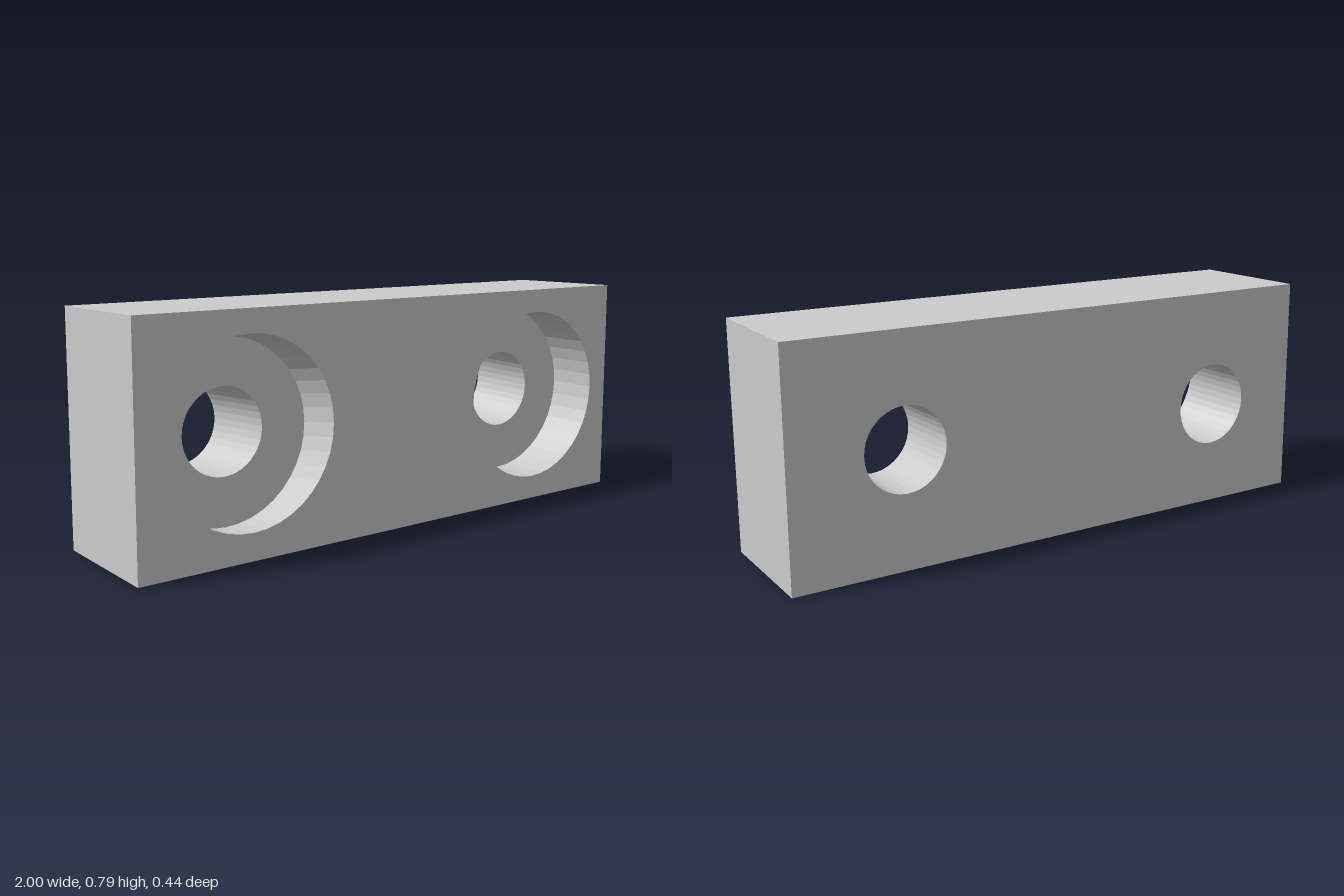
import * as THREE from 'three';

const SEG = 40;
const FRONT = 0.222, FLOOR = 0.04, BACK = -0.222;

const loop = (z, pts) => pts.map(([x, y]) => new THREE.Vector3(x, y, z));

function ring(x, y, z, r) {
  return Array.from({ length: SEG }, (_, i) => {
    const a = (i / SEG) * Math.PI * 2;
    return new THREE.Vector3(x + r * Math.cos(a), y + r * Math.sin(a), z);
  });
}

// Band of quads joining two counter-clockwise loops
function band(a, b) {
  const pos = [];
  a.forEach((p, i) => {
    const j = (i + 1) % a.length;
    for (const v of [p, b[i], b[j], p, b[j], a[j]]) pos.push(v.x, v.y, v.z);
  });
  const g = new THREE.BufferGeometry();
  g.setAttribute('position', new THREE.Float32BufferAttribute(pos, 3));
  g.computeVertexNormals();
  return g;
}

// Flat face with holes, facing front or back
function plate(outline, holes, facesBack) {
  const shape = new THREE.Shape().setFromPoints(outline);
  shape.holes = holes.map((h) => new THREE.Path().setFromPoints(h));
  const g = new THREE.ShapeGeometry(shape);
  g.translate(0, 0, outline[0].z);
  if (facesBack) {
    g.index.array.reverse();
    g.computeVertexNormals();
  }
  return g;
}

export function createModel() {
  const model = new THREE.Group();
  model.name = 'mountingBlock';
  const material = new THREE.MeshStandardMaterial({ color: 0xcccccc, flatShading: true });
  const add = (name, geometry) => {
    const mesh = new THREE.Mesh(geometry, material);
    mesh.name = name;
    model.add(mesh);
  };

  // Slightly out-of-square block outlines
  const front = loop(FRONT, [[-1, 0.003], [1, 0], [0.998, 0.773], [-0.99, 0.785]]);
  const back = loop(BACK, [[-1, 0.003], [1, 0], [0.998, 0.767], [-0.99, 0.778]]);

  // Each hole: counterbore mouth, counterbore floor, bore start, bore exit
  const holes = [
    {
      side: 'right',
      mouth: ring(-0.607, 0.4, FRONT, 0.307),
      floor: ring(-0.595, 0.373, FLOOR, 0.307),
      bore: ring(-0.6, 0.378, FLOOR, 0.146),
      exit: ring(-0.622, 0.369, BACK, 0.146),
    },
    {
      side: 'left',
      mouth: ring(0.612, 0.389, FRONT, 0.305),
      floor: ring(0.612, 0.389, FLOOR, 0.305),
      bore: ring(0.612, 0.389, FLOOR, 0.14),
      exit: ring(0.612, 0.393, BACK, 0.14),
    },
  ];

  // Block shell
  add('frontFace', plate(front, holes.map((h) => h.mouth), false));
  add('backFace', plate(back, holes.map((h) => h.exit), true));
  add('outerSides', band(front, back));

  // Counterbored bolt holes
  for (const h of holes) {
    add(`${h.side}CounterboreWall`, band(h.floor, h.mouth));
    add(`${h.side}CounterboreFloor`, band(h.bore, h.floor));
    add(`${h.side}BoreWall`, band(h.exit, h.bore));
  }
  return model;
}
